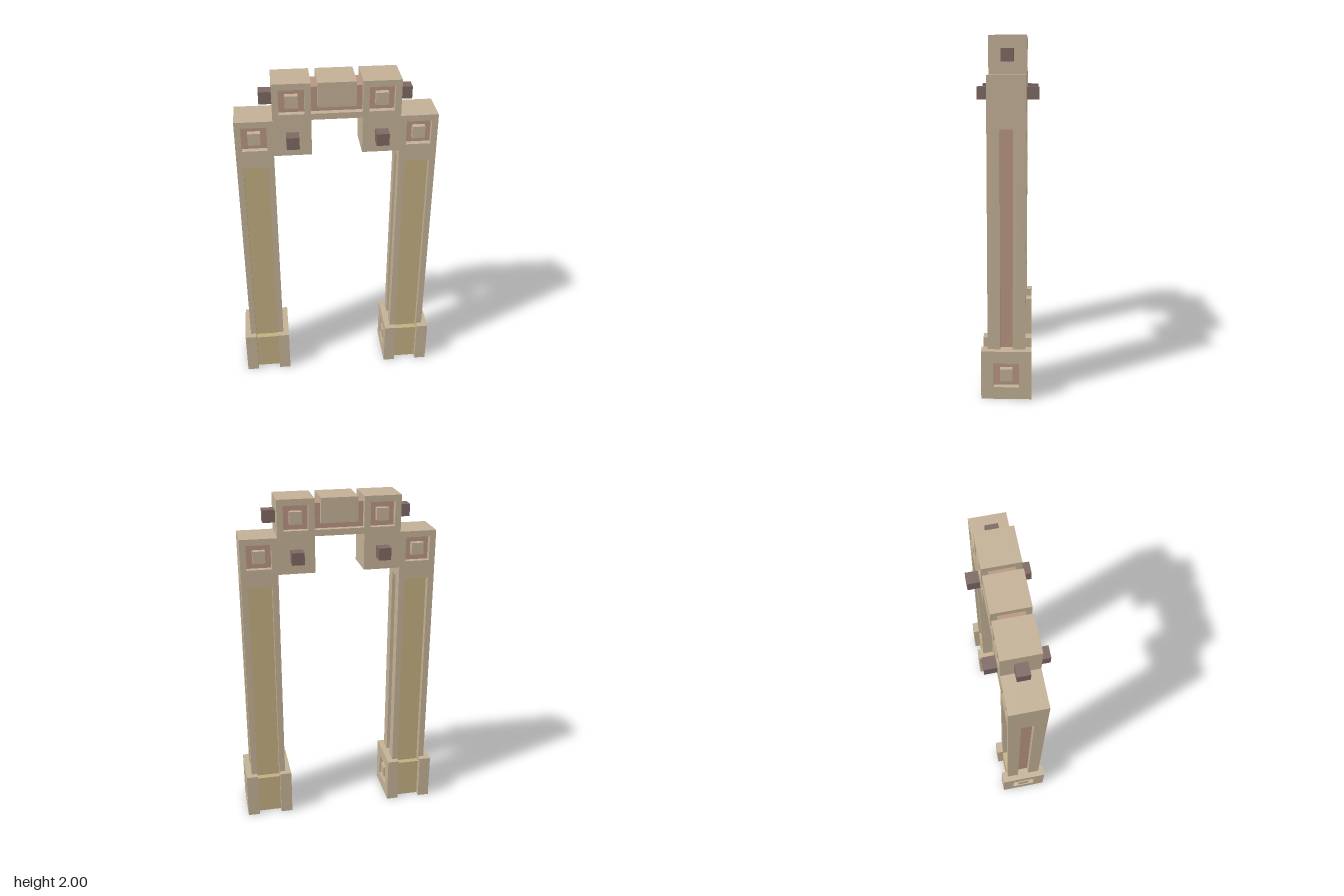
import * as THREE from 'three';

const U = 2 / 57; // one block unit
const mat = (color) => new THREE.MeshStandardMaterial({ color, flatShading: true });

export function createModel() {
  const stone = mat(0xc3b196), gold = mat(0xc3af82), rose = mat(0xba9682), dark = mat(0x7d6964);
  const model = new THREE.Group();
  model.name = 'archGate';

  const add = (parent, name, geometry, material, x, y, z) => {
    const mesh = new THREE.Mesh(geometry, material);
    mesh.name = name;
    mesh.position.set(x, y, z);
    parent.add(mesh);
    return mesh;
  };
  const box = (parent, name, material, x, y, z, w, h, d) =>
    add(parent, name, new THREE.BoxGeometry(w, h, d), material, x, y, z);
  const square = (x, y, r, Type) => new Type(
    [[-r, -r], [r, -r], [r, r], [-r, r]].map(([a, b]) => new THREE.Vector2(x + a, y + b)));
  const extrude = (shape, depth) => new THREE.ExtrudeGeometry(shape, { depth, bevelEnabled: false });

  // Upper arch: stepped silhouette with a notch for the keystone
  const half = [[4, 52], [4, 57], [10, 57], [10, 51], [16, 51], [16, 43], [10, 43], [10, 45], [4, 45], [4, 51]];
  const outline = [...half, ...half.map(([x, y]) => [-x, y]).reverse()].map((p) => new THREE.Vector2(...p));
  const arch = new THREE.Group();
  arch.name = 'upperArch';
  model.add(arch);
  add(arch, 'archCore', extrude(new THREE.Shape(outline), 4), stone, 0, 0, -2);

  // Face plates with square sockets
  const sockets = [[7, 54], [13, 48], [-7, 54], [-13, 48]];
  const face = new THREE.Shape(outline);
  for (const [x, y] of sockets) face.holes.push(square(x, y, 2, THREE.Path));
  for (const z of [2, -3]) add(arch, 'archFacePlate', extrude(face, 1), stone, 0, 0, z);
  for (const [x, y] of sockets) {
    box(arch, 'socketFloor', rose, x, y, 0, 4, 4, 4.04);
    box(arch, 'socketStud', stone, x, y, 0, 2, 2, 6);
  }

  // Keystone on its recessed core
  box(arch, 'keystoneCore', rose, 0, 54, 0, 8, 4, 4);
  box(arch, 'keystone', stone, 0, 55, 0, 6, 4, 6);

  // Foot side plate with a square socket
  const footSide = square(0, 4, 4, THREE.Shape);
  footSide.holes.push(square(0, 4, 2, THREE.Path));
  const footPlate = extrude(footSide, 1).rotateY(Math.PI / 2);

  for (const side of [-1, 1]) {
    // Dark pegs
    box(arch, 'sidePeg', dark, side * 11, 54, 0, 2, 2, 2);
    for (const f of [-1, 1]) box(arch, 'facePeg', dark, side * 7, 48, f * 4, 2, 2, 2);

    // Leg: inset panels between four corner posts
    const leg = new THREE.Group();
    leg.name = side > 0 ? 'leftLeg' : 'rightLeg';
    leg.position.x = side * 13;
    model.add(leg);
    box(leg, 'legPanel', gold, 0, 21.5, 0, 4, 43, 4);
    box(leg, 'legSideInlay', rose, 0, 25.5, 0, 4.04, 35, 2);
    for (const sx of [-1, 1]) for (const sz of [-1, 1])
      box(leg, 'cornerPost', stone, sx * 2.5, 25.5, sz * 2, 1, 35, 2);

    // Foot: lower panel held between two socketed cheeks
    box(leg, 'footPanel', gold, 0, 3.5, 0, 4, 7, 6);
    for (const sx of [-1, 1]) {
      box(leg, 'footCheek', stone, sx * 2.5, 4, 0, 1, 8, 8);
      add(leg, 'footSidePlate', footPlate, stone, sx > 0 ? 3 : -4, 0, 0);
      box(leg, 'footSocketFloor', rose, sx * 2.9, 4, 0, 0.24, 4, 4);
      box(leg, 'footSocketStud', stone, sx * 3.5, 4, 0, 1, 2, 2);
    }
  }

  model.scale.setScalar(U);
  return model;
}
